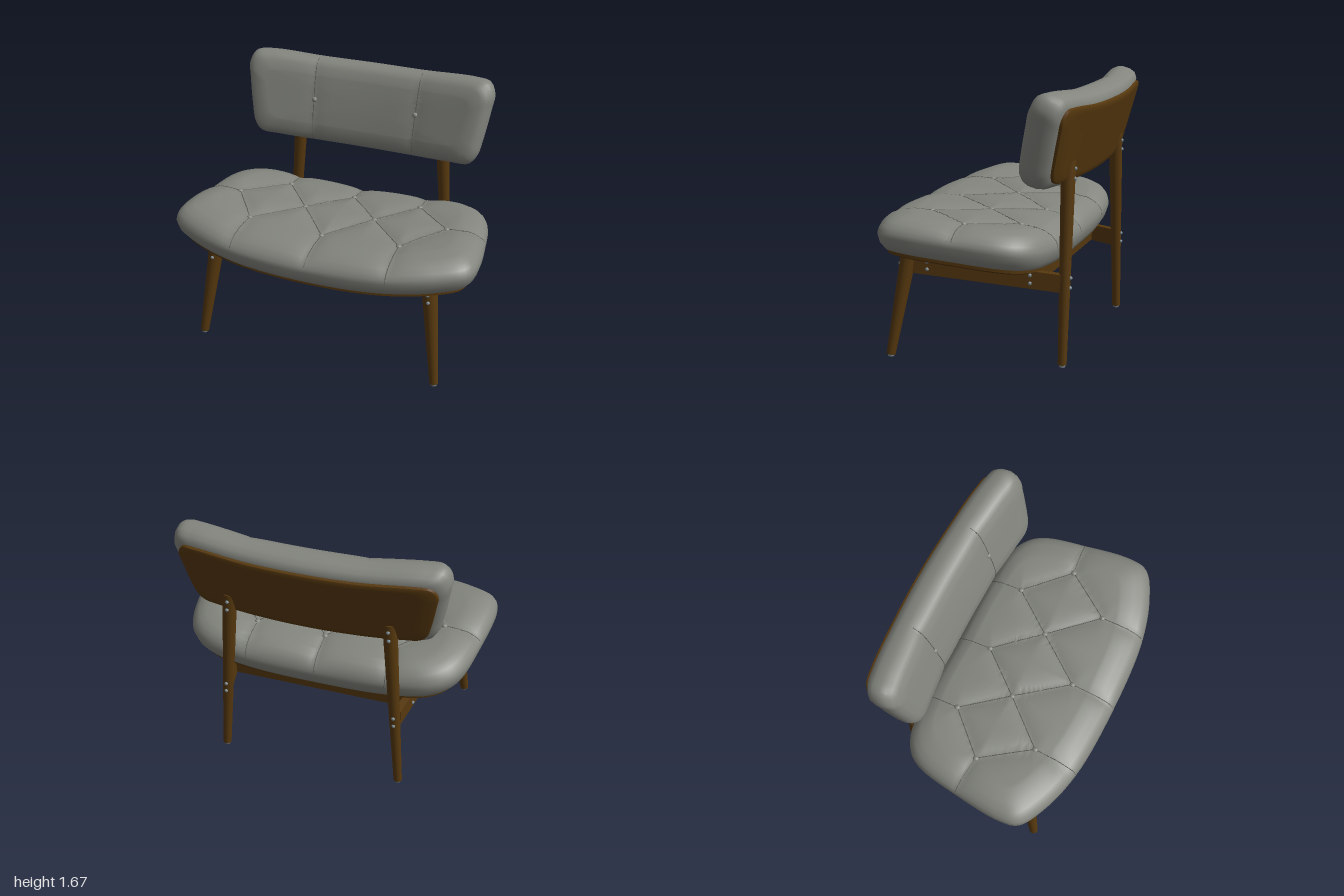
import * as THREE from 'three';
import { toCreasedNormals } from 'three/addons/utils/BufferGeometryUtils.js';

const paint = (name, color) => Object.assign(new THREE.MeshStandardMaterial({ color }), { name });

// Closed smooth outline from one half, mirrored in x, running back -> +x -> front
function mirroredOutline(half, count) {
  const other = half.slice(1, -1).reverse().map(([x, z]) => [-x, z]);
  const pts = [...half, ...other].map(([x, z]) => new THREE.Vector3(x, 0, z));
  return new THREE.CatmullRomCurve3(pts, true).getSpacedPoints(count).slice(0, count);
}

// Shortest distance from (x, z) to a seam [x1, z1, x2, z2]
function seamDistance(x, z, [x1, z1, x2, z2]) {
  const dx = x2 - x1, dz = z2 - z1;
  const t = THREE.MathUtils.clamp(((x - x1) * dx + (z - z1) * dz) / (dx * dx + dz * dz), 0, 1);
  return Math.hypot(x - x1 - t * dx, z - z1 - t * dz);
}

// Lofted pad: the outline is inset along a [inset, height] profile, closed at both ends and bent along x
function padGeometry(outline, profile, { bend, dome = 0, seams = [], depth = 0, steps = 24 }) {
  const n = outline.length;
  const hx = Math.max(...outline.map(p => p.x)), hz = Math.max(...outline.map(p => Math.abs(p.z)));
  const first = profile[0], last = profile[profile.length - 1];
  const rings = [];
  for (let i = 0; i < 8; i++) rings.push([...first, i / 8]);
  for (const p of profile) rings.push([...p, 1]);
  for (let i = steps - 1; i >= 0; i--) {
    const s = i / steps;
    rings.push([last[0], last[1] + dome * (1 - s * s), s]);
  }
  const pos = [], index = [];
  rings.forEach(([inset, h, s], i) => {
    for (let j = 0; j < n; j++) {
      const x = outline[j].x * (1 - inset / hx) * s, z = outline[j].z * (1 - inset / hz) * s;
      let y = h + bend * x * x;
      if (seams.length && i > 8) {
        const d = Math.min(...seams.map(seam => seamDistance(x, z, seam)));
        y -= depth * Math.exp(-d / 0.07) * THREE.MathUtils.smoothstep(h, last[1] * 0.45, last[1]);
      }
      pos.push(x, y, z);
      if (i) {
        const k = (j + 1) % n, a = (i - 1) * n + j, b = (i - 1) * n + k, c = i * n + j, d = i * n + k;
        index.push(a, c, b, b, c, d);
      }
    }
  });
  const g = new THREE.BufferGeometry();
  g.setAttribute('position', new THREE.Float32BufferAttribute(pos, 3));
  g.setIndex(index);
  g.computeVertexNormals();
  return g;
}

export function createModel() {
  const model = new THREE.Group();
  model.name = 'loungeChair';
  const fabric = paint('greyFabric', 0x83857e);
  const seamMat = paint('seamThread', 0x60625c);
  const wood = paint('darkWood', 0x56380e);
  const metal = paint('metal', 0x77848a);

  const add = (parent, name, geometry, material, position = [0, 0, 0]) => {
    const m = new THREE.Mesh(geometry, material);
    m.name = name;
    m.position.set(...position);
    parent.add(m);
    return m;
  };

  // Cushion with creases, seam threads and buttons, on a thin wooden shell
  function upholstery(name, { half, profile, shell, bend, dome, seams, buttons, depth }) {
    const group = new THREE.Group();
    group.name = name;
    const outline = mirroredOutline(half, 192);
    const cushion = add(group, name + 'Cushion',
      padGeometry(outline, profile, { bend, dome, seams, depth }), fabric);
    add(group, name + 'Shell',
      toCreasedNormals(padGeometry(outline, shell, { bend, steps: 8 }), 0.6), wood);
    const ray = new THREE.Raycaster(), down = new THREE.Vector3(0, -1, 0);
    const surface = (x, z) => {
      ray.set(new THREE.Vector3(x, 2, z), down);
      const hit = ray.intersectObject(cushion)[0];
      return hit && hit.point;
    };
    for (const [x1, z1, x2, z2] of seams) {
      const pts = [];
      for (let i = 0; i <= 20; i++) {
        const p = surface(x1 + (x2 - x1) * i / 20, z1 + (z2 - z1) * i / 20);
        if (p) pts.push(p);
      }
      if (pts.length > 1) {
        add(group, name + 'Seam', new THREE.TubeGeometry(new THREE.CatmullRomCurve3(pts), 40, 0.003, 5), seamMat);
      }
    }
    for (const [x, z] of buttons) {
      const p = surface(x, z);
      add(group, name + 'Button', new THREE.SphereGeometry(0.018, 16, 10), fabric, p.toArray()).scale.y = 0.7;
    }
    model.add(group);
    return group;
  }

  // Seat with diamond tufting
  const back = [-0.46, 0, 0.46].map(x => [x, -0.21]);
  const mid = [-0.715, -0.24, 0.24, 0.715].map(x => [x, Math.abs(x) > 0.5 ? 0.06 : 0.075]);
  const front = [-0.5, 0, 0.5].map(x => [x, x ? 0.37 : 0.39]);
  const seatSeams = [];
  for (let i = 0; i < 3; i++) {
    for (const row of [back, front]) {
      seatSeams.push([...row[i], ...mid[i]], [...row[i], ...mid[i + 1]]);
    }
    seatSeams.push([...back[i], back[i][0], -0.47], [...front[i], front[i][0] * 1.02, 0.69]);
  }
  for (const s of [-1, 1]) seatSeams.push([s * 0.715, 0.06, s * 0.98, 0.03]);
  const seat = upholstery('seat', {
    half: [[0, -0.46], [0.5, -0.455], [0.74, -0.42], [0.85, -0.35], [0.91, -0.25], [0.965, 0.03],
      [0.998, 0.36], [0.97, 0.48], [0.8, 0.58], [0.5, 0.66], [0, 0.685]],
    profile: [[0.08, 0.025], [0.045, 0.035], [0.015, 0.07], [0, 0.12], [0.006, 0.15], [0.02, 0.18],
      [0.05, 0.212], [0.1, 0.24], [0.17, 0.257]],
    shell: [[0.09, 0], [0.06, 0.012], [0.06, 0.032]],
    bend: 0.075, dome: 0.02, depth: 0.028, seams: seatSeams, buttons: [...back, ...mid, ...front],
  });
  seat.position.y = 0.585;
  seat.rotation.x = -0.08;

  // Backrest, modelled lying flat and then tilted upright
  const rest = upholstery('backrest', {
    half: [[0, -0.28], [0.35, -0.28], [0.7, -0.29], [0.8, -0.275], [0.84, -0.2], [0.83, -0.1],
      [0.8, 0.1], [0.775, 0.21], [0.73, 0.268], [0.6, 0.28], [0, 0.285]],
    profile: [[0.07, 0.02], [0.04, 0.027], [0.012, 0.05], [0, 0.09], [0, 0.14], [0.01, 0.175],
      [0.03, 0.205], [0.065, 0.225], [0.12, 0.234]],
    shell: [[0.065, 0], [0.055, 0.006], [0.055, 0.028]],
    bend: 0.11, dome: 0.006, depth: 0.012,
    seams: [-1, 1].map(s => [s * 0.36, -0.3, s * 0.345, 0.3]),
    buttons: [[-0.35, 0], [0.35, 0]],
  });
  rest.position.set(0, 1.34, -0.63);
  rest.rotation.x = THREE.MathUtils.degToRad(75);

  // Round tapered leg between two points, with a metal glide under it
  const up = new THREE.Vector3(0, 1, 0);
  function leg(name, foot, top, rFoot, rTop) {
    const a = new THREE.Vector3(...foot), b = new THREE.Vector3(...top);
    const m = add(model, name, new THREE.CylinderGeometry(rTop, rFoot, a.distanceTo(b), 28), wood);
    m.position.copy(a).lerp(b, 0.5);
    m.quaternion.setFromUnitVectors(up, b.sub(a).normalize());
    add(model, name + 'Glide', new THREE.CylinderGeometry(0.021, 0.019, 0.02, 20), metal, [foot[0], 0.01, foot[2]]);
  }
  const bolt = (x, y, z) => add(model, 'bolt', new THREE.SphereGeometry(0.012, 12, 8), metal, [x, y, z]);
  const railX = z => 0.565 + (z + 0.52) * 0.174;

  for (const s of [1, -1]) {
    const side = s > 0 ? 'left' : 'right';
    leg(side + 'FrontLeg', [s * 0.805, 0.014, 0.5], [s * 0.72, 0.66, 0.4], 0.028, 0.05);
    leg(side + 'BackLeg', [s * 0.593, 0.014, -0.545], [s * 0.5, 1.25, -0.54], 0.027, 0.045);

    // Side rail running from front leg to back leg
    const a = new THREE.Vector3(s * railX(-0.52), 0.517, -0.52);
    const b = new THREE.Vector3(s * railX(0.37), 0.586, 0.37);
    const rail = add(model, side + 'Rail', new THREE.BoxGeometry(0.045, 0.11, a.distanceTo(b)), wood);
    rail.position.copy(a).lerp(b, 0.5);
    rail.lookAt(b);

    // Bolts through the legs and the rail
    bolt(s * 0.724, 0.63, 0.453);
    bolt(s * 0.731, 0.58, 0.459);
    for (const [y, x, z] of [[1.205, 0.503, -0.584], [1.145, 0.508, -0.583], [0.55, 0.553, -0.578], [0.49, 0.557, -0.577]]) {
      bolt(s * x, y, z);
    }
    for (const [z, y] of [[0.28, 0.607], [0.28, 0.56], [-0.345, 0.56], [-0.345, 0.51]]) {
      bolt(s * (railX(z) + 0.023), y, z);
    }
  }

  // Cross bars between the side rails
  for (const [name, z, y] of [['frontCrossBar', 0.28, 0.58], ['backCrossBar', -0.345, 0.528]]) {
    const bar = add(model, name, new THREE.BoxGeometry(2 * railX(z), 0.1, 0.042), wood, [0, y, z]);
    bar.rotation.x = -0.08;
  }
  return model;
}
